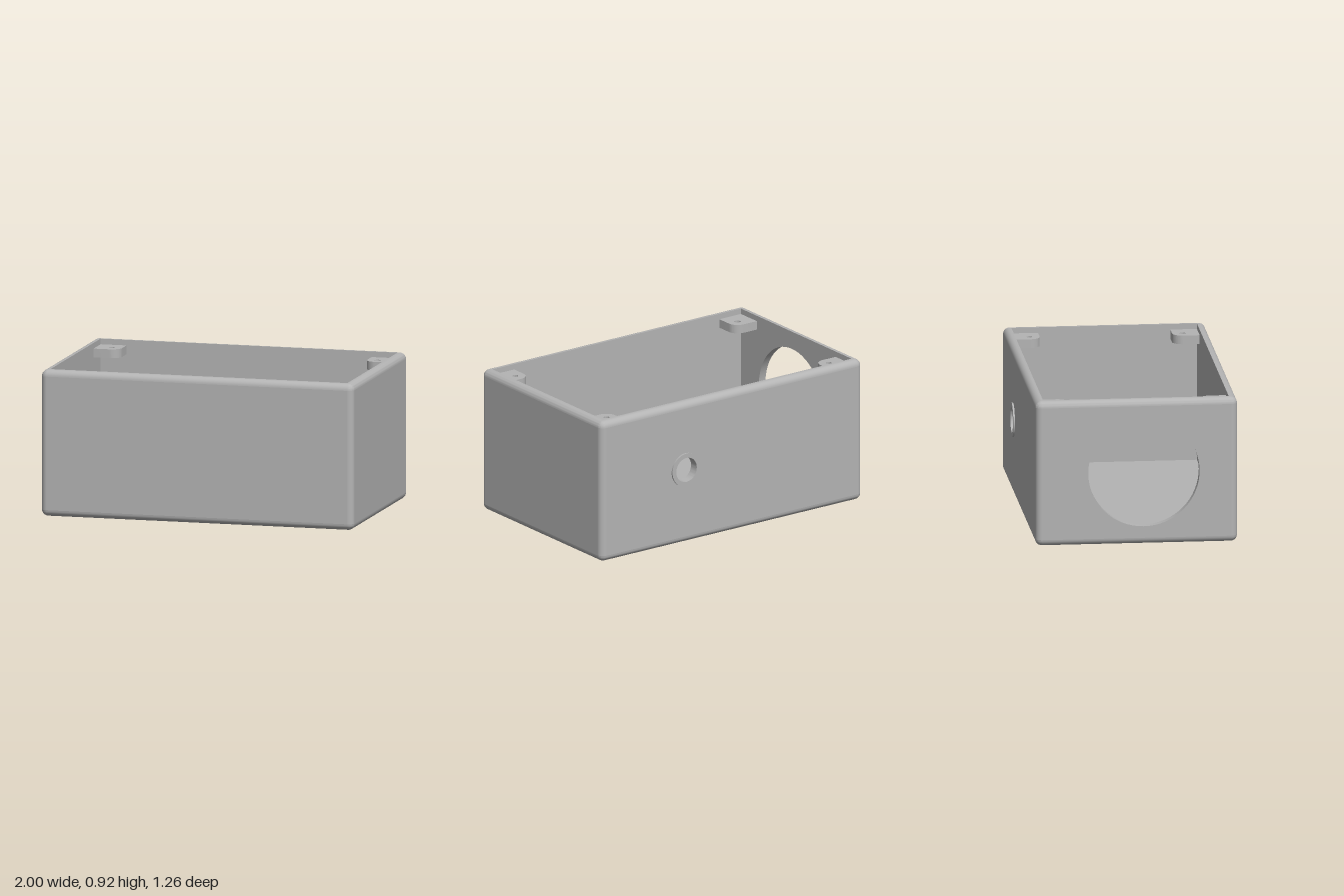
import * as THREE from 'three';
import { toCreasedNormals } from 'three/addons/utils/BufferGeometryUtils.js';

const W = 1, D = 0.625, H = 0.915; // half width, half depth, height
const R = 0.04, T = 0.05, ZC = 0.005; // edge radius, wall thickness, centre in z
const SEG = 8;

const casing = new THREE.MeshStandardMaterial({ color: 0xb4b4b4 });
casing.name = 'grey casing';

// Skin through rounded rectangles, one per [inset, y] of the profile
function band(profile) {
  const pos = [], index = [], n = 4 * (SEG + 1);
  for (const [inset, y] of profile) {
    const r = Math.max(R - inset, 0), c = Math.max(R, inset);
    for (let q = 0; q < 4; q++) {
      const sx = q < 2 ? 1 : -1, sz = q === 0 || q === 3 ? 1 : -1;
      for (let i = 0; i <= SEG; i++) {
        const a = (q + i / SEG) * Math.PI / 2;
        pos.push(sx * (W - c) + r * Math.sin(a), y, sz * (D - c) + r * Math.cos(a));
      }
    }
  }
  for (let j = 0; j < profile.length - 1; j++) {
    for (let i = 0; i < n; i++) {
      const a = j * n + i, b = j * n + (i + 1) % n;
      index.push(a, b, b + n, a, b + n, a + n);
    }
  }
  const g = new THREE.BufferGeometry();
  g.setAttribute('position', new THREE.Float32BufferAttribute(pos, 3));
  g.setIndex(index);
  return toCreasedNormals(g, 0.5);
}

function circle(path, x, y, r) {
  path.absarc(x, y, r, 0, Math.PI * 2, false);
  return path;
}

function extrude(shape, depth) {
  const g = new THREE.ExtrudeGeometry(shape, { depth, bevelEnabled: false, curveSegments: 32 });
  return toCreasedNormals(g, 0.5);
}

// Flat wall panel between the rounded edges, with an optional round opening
function panel(half, hole) {
  const s = new THREE.Shape();
  s.moveTo(-half, R).lineTo(half, R).lineTo(half, H - R).lineTo(-half, H - R).closePath();
  if (hole) s.holes.push(circle(new THREE.Path(), ...hole));
  return extrude(s, T);
}

export function createModel() {
  const model = new THREE.Group();
  model.name = 'enclosure';
  const body = new THREE.Group();
  body.name = 'body';
  body.position.z = ZC;
  model.add(body);
  const add = (name, geometry) => {
    const m = new THREE.Mesh(geometry, casing);
    m.name = name;
    body.add(m);
    return m;
  };

  // Walls: small port in the back, large opening in the right side
  const port = [0.355, 0.478];
  add('frontWall', panel(W - R).translate(0, 0, D - T));
  add('backWall', panel(W - R, [...port, 0.078]).translate(0, 0, -D));
  add('leftWall', panel(D - R).rotateY(Math.PI / 2).translate(W - T, 0, 0));
  add('rightWall', panel(D - R, [-0.045, 0.458, 0.345]).rotateY(Math.PI / 2).translate(-W, 0, 0));

  // Floor
  add('floor', new THREE.BoxGeometry(2 * (W - R), T, 2 * (D - R)).translate(0, T / 2, 0));

  // Rounded bottom edge and open top rim
  const low = [], top = [];
  for (let i = 0; i <= SEG; i++) {
    const a = i / SEG * Math.PI / 2;
    low.push([R - R * Math.sin(a), R - R * Math.cos(a)]);
    top.push([R - R * Math.cos(a), H - R + R * Math.sin(a)]);
  }
  top.push([T, H], [T, H - R]);
  add('bottomEdge', band(low));
  add('topRim', band(top));

  // Rounded vertical edges
  for (let q = 0; q < 4; q++) {
    const sx = q < 2 ? 1 : -1, sz = q === 0 || q === 3 ? 1 : -1;
    const g = new THREE.CylinderGeometry(R, R, H - 2 * R, SEG, 1, true, q * Math.PI / 2, Math.PI / 2);
    add('cornerEdge', g).position.set(sx * (W - R), H / 2, sz * (D - R));
  }

  // Collar around the back port
  const collar = circle(new THREE.Shape(), ...port, 0.107);
  collar.holes.push(circle(new THREE.Path(), ...port, 0.078));
  add('portCollar', extrude(collar, 0.01).translate(0, 0, -D - 0.01));

  // Corner tabs with screw holes
  const size = 0.165, round = 0.065;
  for (const sx of [1, -1]) {
    for (const sz of [1, -1]) {
      const x = sx * (W - T), z = sz * (D - T);
      const xi = x - sx * size, zi = z - sz * size;
      const s = new THREE.Shape();
      s.moveTo(x, z).lineTo(x, zi).lineTo(xi + sx * round, zi);
      s.bezierCurveTo(xi + sx * round * 0.45, zi, xi, zi + sz * round * 0.45, xi, zi + sz * round);
      s.lineTo(xi, z).closePath();
      s.holes.push(circle(new THREE.Path(), sx * 0.85, sz * 0.475, 0.018));
      add('screwTab', extrude(s, 0.055).rotateX(Math.PI / 2).translate(0, 0.88, 0));
    }
  }
  return model;
}
